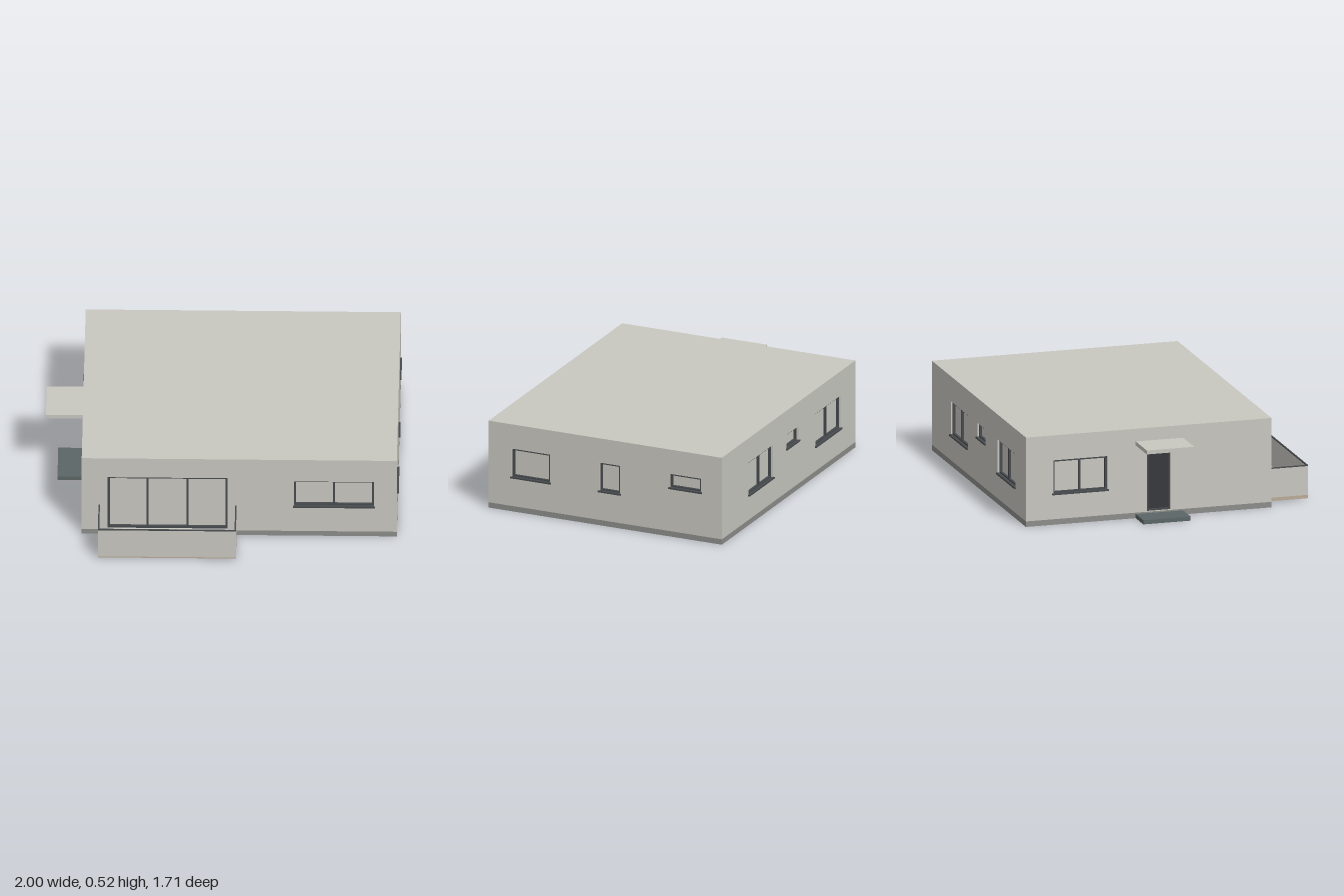
import * as THREE from 'three';

const mat = (name, color) => {
  const m = new THREE.MeshStandardMaterial({ color });
  m.name = name;
  return m;
};

const X0 = -0.79, X1 = 0.99, Z0 = -0.847, Z1 = 0.607; // house footprint
const BASE = 0.032, TOP = 0.522, DEPTH = 0.025;       // plinth top, roof, reveal depth

export function createModel() {
  const house = new THREE.Group();
  house.name = 'house';
  const wall = mat('wall plaster', 0xc8c7c0);
  const plinthMat = mat('plinth grey', 0x8c8c8a);
  const frameMat = mat('frame anthracite', 0x474b4e);
  const doorMat = mat('door dark', 0x35373b);
  const stepMat = mat('step slate', 0x5c6666);
  const floorMat = mat('balcony floor', 0xbcab99);

  // box given by its minimum and maximum corners
  function box(parent, name, m, x0, x1, y0, y1, z0, z1) {
    const mesh = new THREE.Mesh(new THREE.BoxGeometry(x1 - x0, y1 - y0, z1 - z0), m);
    mesh.position.set((x0 + x1) / 2, (y0 + y1) / 2, (z0 + z1) / 2);
    mesh.name = name;
    parent.add(mesh);
    return mesh;
  }

  // frame bars, mullions and sill of one opening, in wall coordinates
  function fitOpening(parent, o) {
    const { u0, u1, v0, v1, panes = 1, bar = 0.011 } = o;
    const g = new THREE.Group();
    g.name = o.name;
    parent.add(g);
    const back = -DEPTH, front = -0.011;
    box(g, 'frameTop', frameMat, u0, u1, v1 - bar, v1, back, front);
    box(g, 'frameBottom', frameMat, u0, u1, v0, v0 + bar, back, front);
    box(g, 'frameSideA', frameMat, u0, u0 + bar, v0 + bar, v1 - bar, back, front);
    box(g, 'frameSideB', frameMat, u1 - bar, u1, v0 + bar, v1 - bar, back, front);
    for (let i = 1; i < panes; i++) {
      const u = u0 + (u1 - u0) * i / panes;
      box(g, 'mullion', frameMat, u - 0.006, u + 0.006, v0 + bar, v1 - bar, back, front);
    }
    if (o.door) box(g, 'doorLeaf', doorMat, u0 + bar, u1 - bar, v0 + bar, v1 - bar, back, -0.018);
    if (o.sill) box(g, 'sill', frameMat, u0 - 0.007, u1 + 0.007, v0 - 0.006, v0 + 0.003, -0.012, 0.009);
  }

  // wall skin with holes; u runs to the right when facing the wall
  function buildWall(name, u0, u1, angle, position, openings) {
    const g = new THREE.Group();
    g.name = name;
    const shape = new THREE.Shape();
    shape.moveTo(u0, BASE).lineTo(u1, BASE).lineTo(u1, TOP).lineTo(u0, TOP).closePath();
    for (const o of openings) {
      const hole = new THREE.Path();
      hole.moveTo(o.u0, o.v0).lineTo(o.u0, o.v1).lineTo(o.u1, o.v1).lineTo(o.u1, o.v0).closePath();
      shape.holes.push(hole);
      fitOpening(g, o);
    }
    const geo = new THREE.ExtrudeGeometry(shape, { depth: DEPTH, bevelEnabled: false });
    geo.translate(0, 0, -DEPTH);
    const skin = new THREE.Mesh(geo, wall);
    skin.name = name + 'Skin';
    g.add(skin);
    g.rotation.y = angle;
    g.position.set(...position);
    house.add(g);
  }
  const win = (u0, u1, v0, v1, panes) => ({ name: 'window', u0, u1, v0, v1, panes, sill: true });

  // plinth and core, whose faces close the window recesses
  box(house, 'plinth', plinthMat, X0, X1, 0, BASE, Z0, Z1);
  box(house, 'core', wall, X0 + DEPTH, X1 - DEPTH, BASE, TOP, Z0 + DEPTH, Z1 - DEPTH);

  buildWall('frontWall', X0, X1, 0, [0, 0, Z1], [
    { name: 'balconyDoors', u0: -0.645, u1: 0.035, v0: 0.036, v1: 0.392, panes: 3, bar: 0.014 },
    win(0.41, 0.86, 0.204, 0.374, 2),
  ]);
  buildWall('backWall', -X1, -X0, Math.PI, [0, 0, Z0], [
    win(-0.632, -0.31, 0.18, 0.376, 2),
    win(-0.13, 0.03, 0.292, 0.376, 1),
    win(0.256, 0.595, 0.18, 0.376, 2),
  ]);
  buildWall('rightWall', -Z1 + DEPTH, -Z0 - DEPTH, Math.PI / 2, [X1, 0, 0], [
    win(-0.463, -0.226, 0.206, 0.376, 1),
    win(0.084, 0.211, 0.206, 0.376, 1),
    win(0.523, 0.717, 0.293, 0.376, 1),
  ]);
  buildWall('leftWall', Z0 + DEPTH, Z1 - DEPTH, -Math.PI / 2, [X0, 0, 0], [
    win(-0.685, -0.365, 0.18, 0.376, 2),
    { name: 'entranceDoor', u0: -0.13, u1: 0.01, v0: 0.034, v1: 0.392, door: true },
  ]);

  // entrance canopy and step
  box(house, 'canopy', wall, -1, X0, 0.425, 0.448, -0.197, 0.083);
  box(house, 'entranceStep', stepMat, -0.935, X0, 0, 0.024, -0.197, 0.083);

  // balcony: floor, thin parapets and dark capping
  const balcony = new THREE.Group();
  balcony.name = 'balcony';
  house.add(balcony);
  const bx0 = -0.695, bx1 = 0.085, bz = 0.853, t = 0.008;
  box(balcony, 'balconyFloor', floorMat, bx0, bx1, 0.01, 0.03, Z1, bz - 0.001);
  const runs = [
    ['Front', bx0, bx1, bz - t, bz, 0.018],
    ['Right', bx1 - t, bx1, Z1, bz - t, 0.03],
    ['Left', bx0, bx0 + t, Z1, bz - t, 0.03],
  ];
  for (const [side, x0, x1, z0, z1, y0] of runs) {
    box(balcony, 'parapet' + side, wall, x0, x1, y0, 0.198, z0, z1);
    box(balcony, 'capping' + side, frameMat, x0, x1, 0.198, 0.204, z0, z1);
  }
  return house;
}
